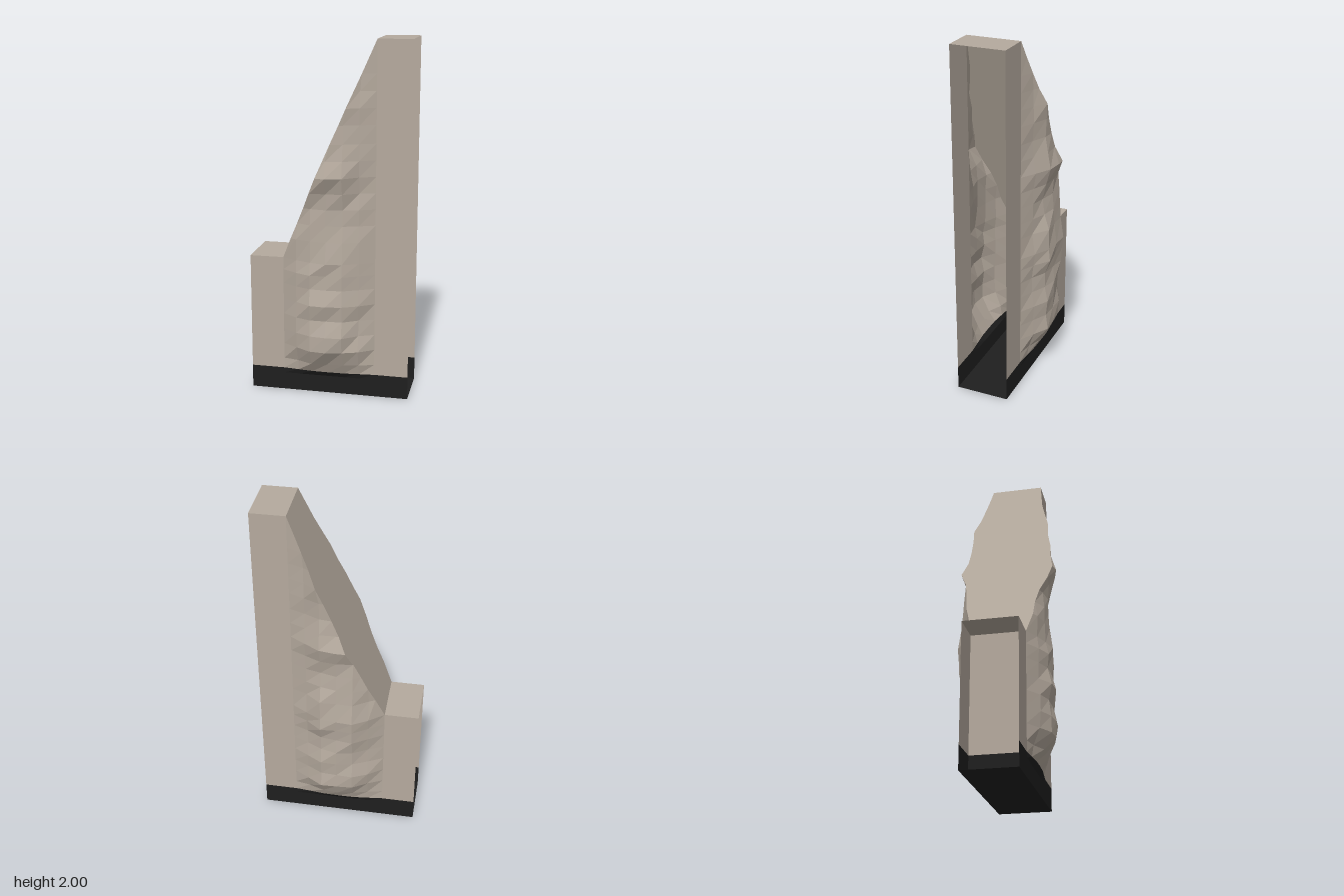
import * as THREE from 'three';

const W = 0.45, IN = 0.26, D = 0.15, LOW = 0.79, TOP = 2, BAND = 0.13;
const COLS = [-0.26, -0.175, -0.09, 0, 0.09, 0.175, 0.26];
const BULGE = [0, 0.055, 0.105, 0.11, 0.097, 0.046, 0];
const ROWS = [0, 0.1, 0.13, 0.19, 0.28, 0.37, 0.46, 0.55, 0.64, 0.72, 0.79, 0.91, 1, 1.09,
  1.18, 1.27, 1.36, 1.45, 1.55, 1.64, 1.73, 1.82, 1.91, 2];
// Swelling of each row on the two faces, 1 = full bulge
const SWELL = {
  front: [0, 0, 0.17, 0.5, 1.0, 0.98, 0.85, 0.95, 0.87, 0.82, 0.8, 0.76, 0.72, 0.68,
    0.82, 1.06, 0.95, 0.82, 0.77, 0.77, 0.7, 0.7, 0.6, 0],
  back: [0, 0, 0.17, 0.5, 0.92, 0.9, 0.87, 0.9, 0.92, 0.98, 1.05, 0.9, 0.78, 0.7,
    0.8, 0.98, 0.85, 0.72, 0.8, 0.9, 0.85, 0.75, 0.6, 0],
};

// Left edge of the middle section at height y
const slopeX = (y) => (y <= LOW ? -IN : -IN + (2 * IN * (y - LOW)) / (TOP - LOW));

// Small repeatable roughness
const rough = (i, j, s) => {
  const v = Math.sin(i * 12.99 + j * 78.23 + s * 37.7) * 43758.55;
  return (v - Math.floor(v) - 0.5) * 0.022;
};

// Depth of the rough face at row j and position x
function depth(side, j, x) {
  const at = (i) => {
    const edge = i === 0 || i === COLS.length - 1 || j < 3 || j === ROWS.length - 1;
    return D + BULGE[i] * SWELL[side][j] + (edge ? 0 : rough(i, j, side === 'front' ? 1 : 2));
  };
  let i = 0;
  while (i < COLS.length - 2 && x > COLS[i + 1]) i++;
  const t = (x - COLS[i]) / (COLS[i + 1] - COLS[i]);
  return at(i) * (1 - t) + at(i + 1) * t;
}

// Flat-shaded mesh from quads given as four corners, counter-clockwise
function quadMesh(name, quads, material) {
  const pos = [];
  quads.forEach(([a, b, c, d]) => pos.push(...a, ...b, ...c, ...a, ...c, ...d));
  const g = new THREE.BufferGeometry();
  g.setAttribute('position', new THREE.Float32BufferAttribute(pos, 3));
  g.computeVertexNormals();
  const m = new THREE.Mesh(g, material);
  m.name = name;
  return m;
}

export function createModel() {
  const group = new THREE.Group();
  group.name = 'slopedWallBlock';
  const stone = new THREE.MeshStandardMaterial({ color: 0xb5aa9e, side: THREE.DoubleSide, flatShading: true });
  stone.name = 'stone';
  const black = new THREE.MeshStandardMaterial({ color: 0x1f1f1f, side: THREE.DoubleSide, flatShading: true });
  black.name = 'black base';
  const add = (name, quads, material) => group.add(quadMesh(name, quads, material));

  // Flat upright panel on the front (s = 1) or back (s = -1)
  const panel = (x0, x1, y0, y1, s) => {
    const q = [[x0, y0, s * D], [x1, y0, s * D], [x1, y1, s * D], [x0, y1, s * D]];
    return s > 0 ? q : q.reverse();
  };
  // Level panel facing up
  const level = (x0, x1, y) => [[x0, y, D], [x1, y, D], [x1, y, -D], [x0, y, -D]];

  for (const [side, s] of [['front', 1], ['back', -1]]) {
    // Flat ends of the wall and their black base
    add(side + 'LowPost', [panel(-W, -IN, BAND, LOW, s)], stone);
    add(side + 'TallPost', [panel(IN, W, BAND, TOP, s)], stone);
    add(side + 'PostBase', [panel(-W, -IN, 0, BAND, s), panel(IN, W, 0, BAND, s)], black);

    // Rough bulging middle, trimmed along the slope
    const vertex = (i, j) => {
      const x = Math.max(COLS[i], slopeX(ROWS[j]));
      return [x, ROWS[j], s * depth(side, j, x)];
    };
    const face = [], base = [];
    for (let j = 0; j < ROWS.length - 1; j++) {
      for (let i = 0; i < COLS.length - 1; i++) {
        const q = [vertex(i, j), vertex(i + 1, j), vertex(i + 1, j + 1), vertex(i, j + 1)];
        if (q[0][0] === q[1][0]) continue;
        (ROWS[j + 1] <= BAND ? base : face).push(s > 0 ? q : q.reverse());
      }
    }
    add(side + 'RoughFace', face, stone);
    add(side + 'RoughFaceBase', base, black);
  }

  // Sloping top following the rough edges
  const slope = [];
  for (let j = ROWS.indexOf(LOW); j < ROWS.length - 1; j++) {
    const p = (k, side, s) => {
      const x = slopeX(ROWS[k]);
      return [x, ROWS[k], s * depth(side, k, x)];
    };
    slope.push([p(j, 'back', -1), p(j, 'front', 1), p(j + 1, 'front', 1), p(j + 1, 'back', -1)]);
  }
  add('slopingTop', slope, stone);

  // Level caps, underside and inner cross wall; the two ends stay open
  add('lowCap', [level(-W, -IN, LOW)], stone);
  add('tallCap', [level(IN, W, TOP)], stone);
  add('underside', [level(-W, W, 0).reverse()], black);
  const cross = (y0, y1) => [[-IN, y0, D], [-IN, y0, -D], [-IN, y1, -D], [-IN, y1, D]];
  add('crossWall', [cross(BAND, LOW)], stone);
  add('crossWallBase', [cross(0, BAND)], black);
  return group;
}
